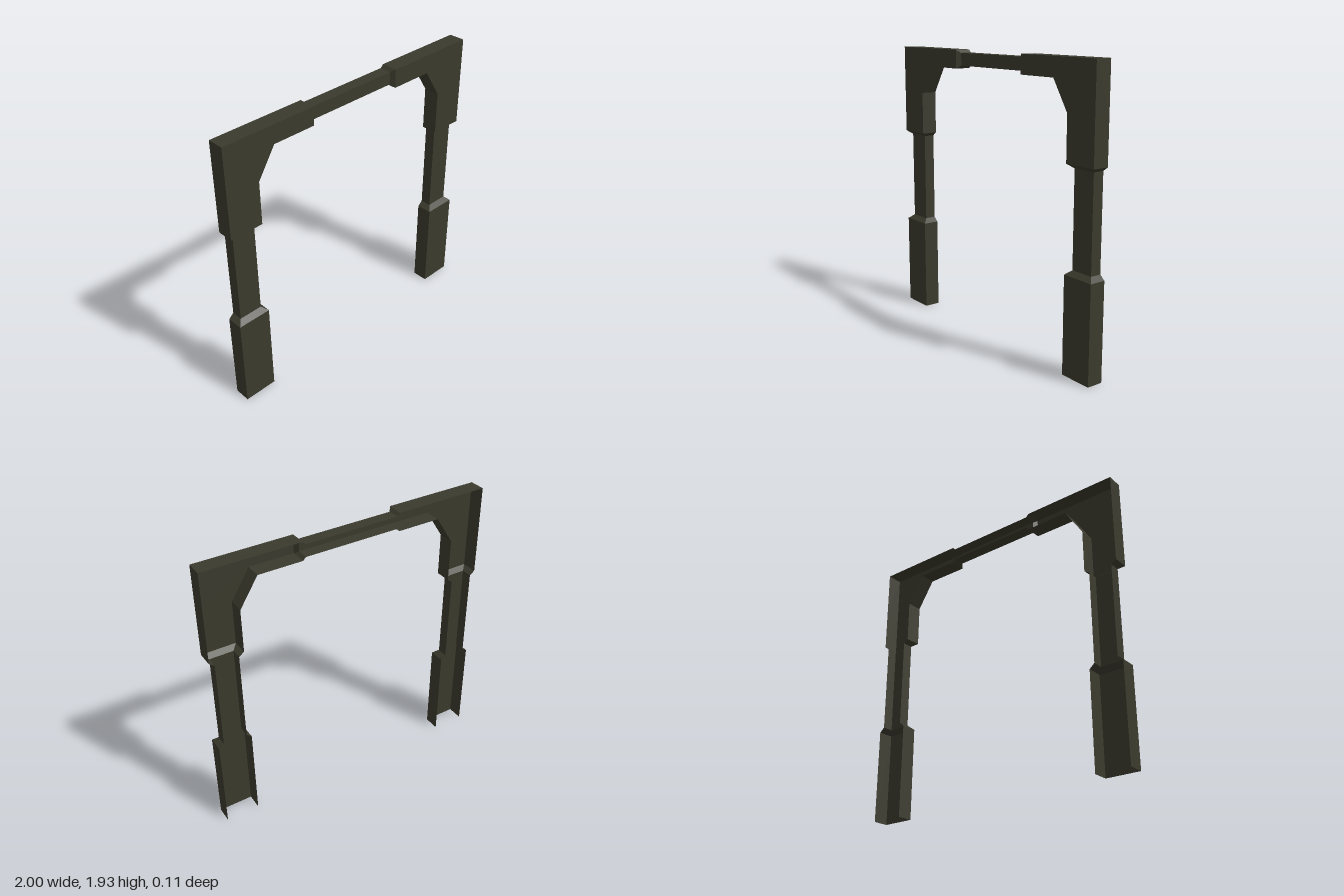
import * as THREE from 'three';

const BACK = -0.055, FRONT = 0.055;

// One cross-section: outer edge point, inner edge point, depth of the front face
const section = (ox, oy, ix, iy, front = FRONT) => ({ ox, oy, ix, iy, front });
const mirror = (list) => list.map((s) => ({ ...s, ox: -s.ox, ix: -s.ix })).reverse();

// Open U-shaped channel lofted through the sections (no back, no end caps)
function channel(sections) {
  const rings = sections.map((s) => [
    [s.ox, s.oy, BACK], [s.ox, s.oy, s.front],
    [s.ix, s.iy, s.front], [s.ix, s.iy, BACK],
  ]);
  const pos = [];
  for (let k = 0; k < rings.length - 1; k++) {
    const a = rings[k], b = rings[k + 1];
    for (let i = 0; i < 3; i++) {
      pos.push(...a[i], ...b[i], ...b[i + 1], ...a[i], ...b[i + 1], ...a[i + 1]);
    }
  }
  const geo = new THREE.BufferGeometry();
  geo.setAttribute('position', new THREE.Float32BufferAttribute(pos, 3));
  geo.computeVertexNormals();
  return geo;
}

export function createModel() {
  const group = new THREE.Group();
  const metal = new THREE.MeshStandardMaterial({ color: 0x3b3a2d, side: THREE.DoubleSide });
  metal.name = 'dark olive metal';

  const add = (name, sections) => {
    const mesh = new THREE.Mesh(channel(sections), metal);
    mesh.name = name;
    group.add(mesh);
  };

  // Wide foot with a chamfer up to the post
  const foot = [
    section(1, 0, 0.77, 0),
    section(1, 0.645, 0.77, 0.645),
    section(0.965, 0.675, 0.805, 0.675, 0.02),
  ];
  // Narrow post
  const post = [foot[2], section(0.965, 1.295, 0.805, 1.295, 0.02)];
  // Corner bracket with diagonal brace, chamfered at both ends
  const corner = [
    post[1],
    section(1, 1.32, 0.77, 1.32),
    section(1, 1.615, 0.77, 1.615),
    section(1, 1.935, 0.645, 1.81),
    section(0.345, 1.935, 0.345, 1.81),
    section(0.325, 1.915, 0.325, 1.83, 0.025),
  ];
  // Narrow lintel between the corners
  const lintel = [corner[5], ...mirror([corner[5]])];

  for (const [name, part] of Object.entries({ Foot: foot, Post: post, Corner: corner })) {
    add('left' + name, part);
    add('right' + name, mirror(part));
  }
  add('lintel', lintel);
  return group;
}
